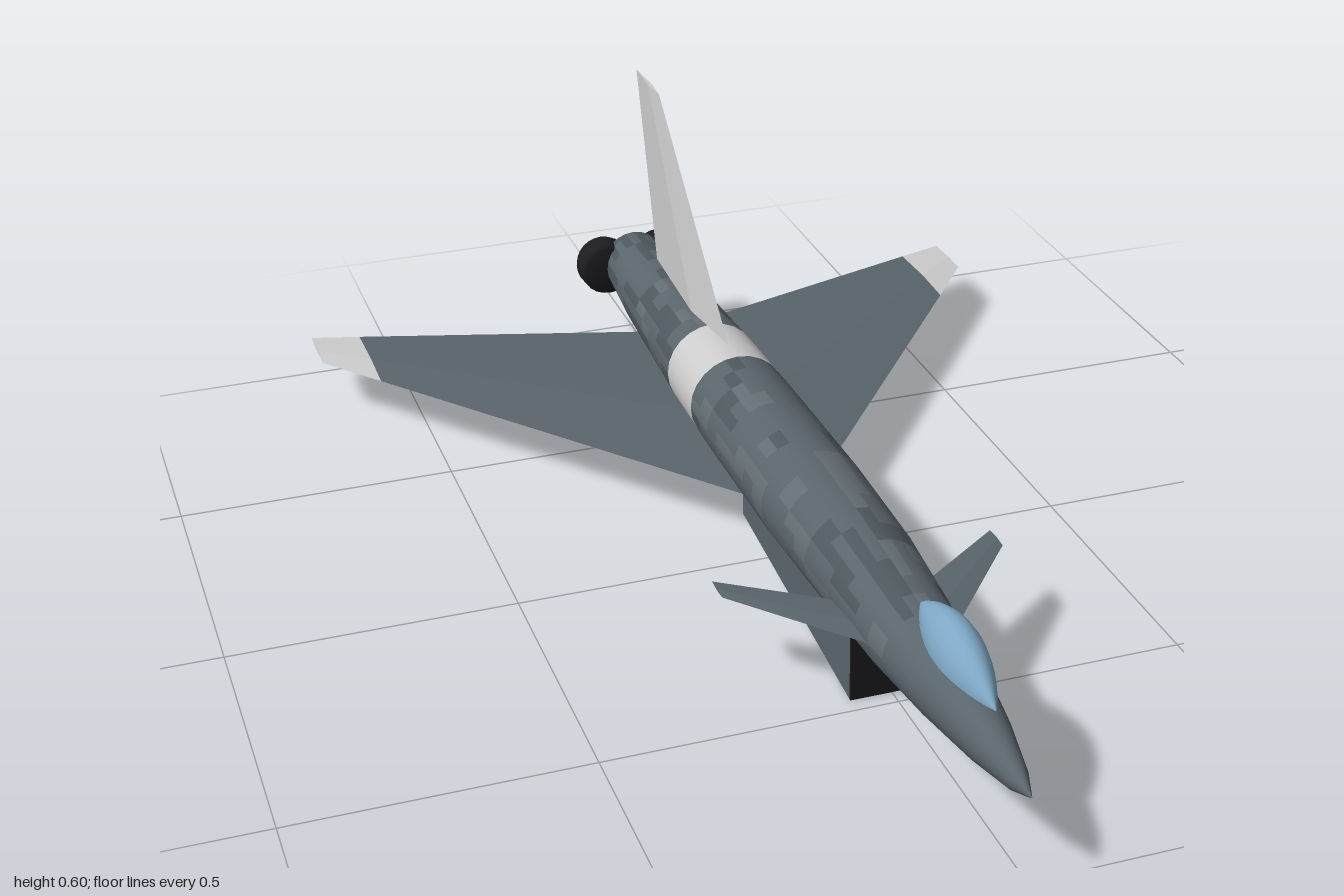
import * as THREE from 'three';

const V = (x, y, z) => new THREE.Vector3(x, y, z);
const mat = (color) => new THREE.MeshStandardMaterial({ color });

// Skin a series of equal rings, each counter-clockwise about the loft direction.
// Flat lofts get end caps and hard edges; smooth ones stay open and indexed.
function loft(rings, flat) {
  const n = rings[0].length, last = (rings.length - 1) * n, index = [];
  for (let i = 0; i < rings.length - 1; i++) {
    for (let j = 0; j < n; j++) {
      const a = i * n + j, b = i * n + (j + 1) % n;
      index.push(a, b, b + n, a, b + n, a + n);
    }
  }
  if (flat) {
    for (let j = 1; j < n - 1; j++) index.push(0, j + 1, j, last, last + j, last + j + 1);
  }
  const g = new THREE.BufferGeometry().setFromPoints(rings.flat());
  g.setIndex(index);
  const out = flat ? g.toNonIndexed() : g;
  out.computeVertexNormals();
  return out;
}

// Diamond-section wing panel; stations are [x, y, zLead, zTrail, halfThickness].
function wingPanel(stations, s) {
  return loft(stations.map(([x, y, zl, zt, t]) => {
    const zm = zl + (zt - zl) * 0.45;
    const ring = [V(s * x, y + t, zm), V(s * x, y, zl), V(s * x, y - t, zm), V(s * x, y, zt)];
    return s < 0 ? ring.reverse() : ring;
  }), true);
}

// Fuselage stations: [z, centre y, half height, half width]
const BODY = [
  [-0.965, 0.168, 0.062, 0.062], [-0.8, 0.165, 0.075, 0.073], [-0.45, 0.164, 0.088, 0.088],
  [-0.2, 0.165, 0.09, 0.093], [0.1, 0.168, 0.092, 0.094], [0.35, 0.17, 0.085, 0.088],
  [0.55, 0.163, 0.073, 0.076], [0.7, 0.16, 0.062, 0.06], [0.85, 0.158, 0.043, 0.038],
  [0.95, 0.156, 0.022, 0.018], [1, 0.155, 0.001, 0.001],
];

function bodyAt(z) {
  let i = 0;
  while (i < BODY.length - 2 && z > BODY[i + 1][0]) i++;
  const a = BODY[i], b = BODY[i + 1], t = (z - a[0]) / (b[0] - a[0]);
  return a.map((v, k) => v + (b[k] - v) * t);
}

function ellipseRing(z, yc, up, down, rx, n) {
  return Array.from({ length: n }, (_, j) => {
    const a = (j / n) * Math.PI * 2, s = Math.sin(a);
    return V(Math.cos(a) * rx, yc + s * (s > 0 ? up : down), z);
  });
}

function hash(a, b) {
  const v = Math.sin(a * 12.9898 + b * 78.233) * 43758.5453;
  return v - Math.floor(v);
}

export function createModel() {
  const root = new THREE.Group();
  const add = (name, geometry, material) => {
    const m = new THREE.Mesh(geometry, material);
    m.name = name;
    root.add(m);
    return m;
  };
  const slate = mat(0x59646b), dark = mat(0x4d575d), light = mat(0x636d73);
  const pale = mat(0xc8c8c6), black = mat(0x1d1d20), glass = mat(0x7fa8c6);

  // Fuselage skin, its quads sorted into camouflage shades and the pale band
  const SIDES = 24, zs = [-0.965];
  for (let k = -19; k <= 20; k++) zs.push(k / 20);
  const skin = loft(zs.map((z) => {
    const [, yc, ry, rx] = bodyAt(z);
    return ellipseRing(z, yc, ry, ry, rx, SIDES);
  }), false);
  const shades = { fuselage: [], fuselageDarkPatches: [], fuselageLightPatches: [], fuselageBand: [] };
  const all = Array.from(skin.index.array);
  for (let q = 0; q < all.length / 6; q++) {
    const row = Math.floor(q / SIDES), col = q % SIDES;
    const z = (zs[row] + zs[row + 1]) / 2, r = hash(row >> 1, col >> 1) * 0.6 + hash(row, col) * 0.4;
    let key = 'fuselage';
    if (z > -0.45 && z < -0.3) key = 'fuselageBand';
    else if (z < 0.6 && r < 0.3) key = 'fuselageDarkPatches';
    else if (z < 0.6 && r > 0.72) key = 'fuselageLightPatches';
    shades[key].push(...all.slice(q * 6, q * 6 + 6));
  }
  [slate, dark, light, pale].forEach((m, i) => {
    const key = Object.keys(shades)[i], g = skin.clone();
    g.setIndex(shades[key]);
    add(key, g, m);
  });

  // Flat rear bulkhead
  const bulkhead = add('rearBulkhead', new THREE.CircleGeometry(0.062, SIDES), dark);
  bulkhead.rotation.y = Math.PI;
  bulkhead.position.set(0, 0.168, -0.965);

  // Teardrop canopy
  const canopyRings = [];
  for (let i = 0; i <= 16; i++) {
    const u = i / 16, s = Math.max(0.01, Math.sin(Math.PI * u) ** 0.85);
    canopyRings.push(ellipseRing(0.58 + 0.29 * u, 0.238 - 0.018 * u, 0.058 * s, 0.016 * s, 0.04 * s, 20));
  }
  add('canopy', loft(canopyRings, false), glass);

  // Tail fin: [y, zLead, zTrail, halfThickness]
  add('tailFin', loft([[0.2, -0.29, -0.785, 0.017], [0.6, -0.755, -0.905, 0.004]].map(([y, zl, zt, t]) => {
    const zm = zl + (zt - zl) * 0.4;
    return [V(0, y, zl), V(t, y, zm), V(0, y, zt), V(-t, y, zm)];
  }), true), pale);

  // Belly air intake: wedge with a dark mouth; [z, bottom, top, halfWidth]
  add('airIntake', loft([[-0.08, 0.055, 0.11, 0.066], [0.468, 0.005, 0.14, 0.072]].map(([z, b, t, w]) =>
    [V(w, b, z), V(w, t, z), V(-w, t, z), V(-w, b, z)]), true), slate);
  const mouth = add('intakeMouth', new THREE.BoxGeometry(0.144, 0.12, 0.004), black);
  mouth.position.set(0, 0.065, 0.469);

  // Hollow exhaust nozzle profile
  const nozzle = new THREE.LatheGeometry([[0, 0], [0.048, 0], [0.053, 0.012], [0.055, 0.05],
    [0.051, 0.062], [0.044, 0.062], [0.036, 0.03], [0, 0.03]].map(([r, y]) => new THREE.Vector2(r, y)), 24);
  nozzle.rotateX(-Math.PI / 2);

  // Mirrored parts
  for (const s of [1, -1]) {
    const side = s > 0 ? 'left' : 'right';
    add(side + 'Wing', wingPanel([[0.03, 0.105, -0.01, -0.754, 0.014], [0.58, 0.104, -0.72, -0.928, 0.004]], s), slate);
    add(side + 'WingTip', wingPanel([[0.58, 0.104, -0.72, -0.928, 0.004], [0.67, 0.103, -0.838, -0.957, 0.002]], s), pale);
    add(side + 'Canard', wingPanel([[0.05, 0.162, 0.582, 0.432, 0.005], [0.245, 0.162, 0.345, 0.292, 0.002]], s), slate);
    const pylon = add(side + 'Pylon', new THREE.BoxGeometry(0.014, 0.042, 0.012), slate);
    pylon.position.set(s * 0.503, 0.081, -0.745);
    add(side + 'Nozzle', nozzle, black).position.set(s * 0.06, 0.163, -0.938);
  }
  return root;
}
